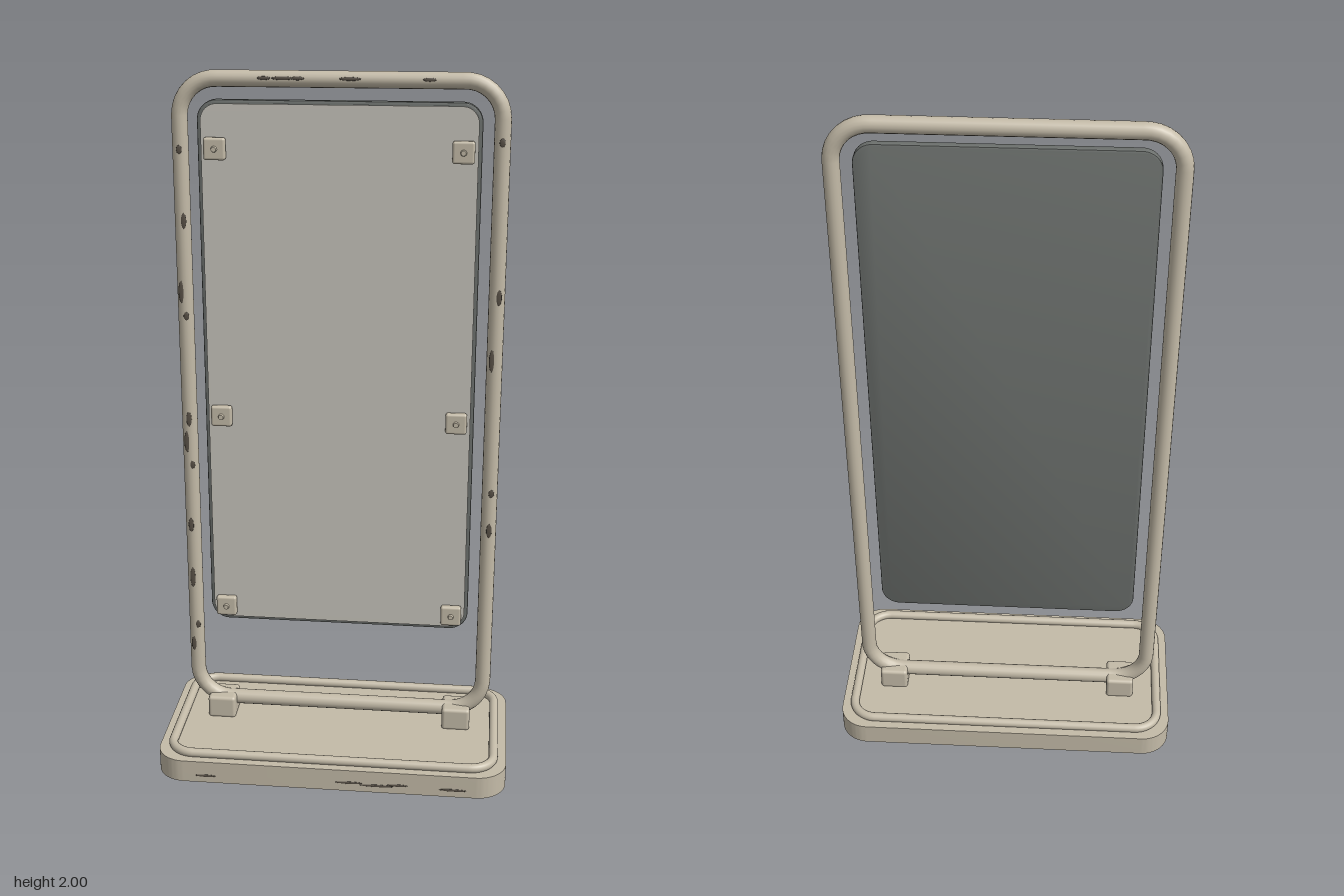
import * as THREE from 'three';
import { toCreasedNormals } from 'three/addons/utils/BufferGeometryUtils.js';
import { RoundedBoxGeometry } from 'three/addons/geometries/RoundedBoxGeometry.js';

const mat = (color) => new THREE.MeshStandardMaterial({ color });
const paint = mat(0xc4bba8);
const glass = mat(0xc8c5bc);
const backing = mat(0x6c706d);
const rust = mat(0x5a5248);

// Rounded rectangle outline, starting in the middle of the bottom edge
function roundedRect(w, h, r) {
  const x = w / 2, y = h / 2, s = new THREE.Shape();
  s.moveTo(0, -y);
  s.lineTo(x - r, -y);
  s.absarc(x - r, -y + r, r, -Math.PI / 2, 0);
  s.lineTo(x, y - r);
  s.absarc(x - r, y - r, r, 0, Math.PI / 2);
  s.lineTo(-x + r, y);
  s.absarc(-x + r, y - r, r, Math.PI / 2, Math.PI);
  s.lineTo(-x, -y + r);
  s.absarc(-x + r, -y + r, r, Math.PI, Math.PI * 1.5);
  s.lineTo(0, -y);
  return s;
}

// Closed 3D path following the rounded rectangle
class LoopCurve extends THREE.Curve {
  constructor(w, h, r) {
    super();
    this.outline = roundedRect(w, h, r);
  }
  getPoint(t, target = new THREE.Vector3()) {
    const p = this.outline.getPoint(t);
    return target.set(p.x, p.y, 0);
  }
}

function slab(w, h, r, depth, bevel = 0) {
  const geo = new THREE.ExtrudeGeometry(roundedRect(w - 2 * bevel, h - 2 * bevel, r), {
    depth: depth - 2 * bevel, curveSegments: 10, bevelEnabled: bevel > 0,
    bevelSize: bevel, bevelThickness: bevel, bevelSegments: 2,
  });
  geo.translate(0, 0, bevel);
  return toCreasedNormals(geo, 0.6);
}

const loopTube = (w, h, r, tube) =>
  new THREE.TubeGeometry(new LoopCurve(w, h, r), 260, tube, 16, true);

export function createModel() {
  const model = new THREE.Group();
  model.name = 'standingMirror';

  const add = (name, geo, material, x = 0, y = 0, z = 0) => {
    const mesh = new THREE.Mesh(geo, material);
    mesh.name = name;
    mesh.position.set(x, y, z);
    model.add(mesh);
    return mesh;
  };

  // Base plate with a raised tubular rim
  add('base', slab(1.02, 0.526, 0.085, 0.067).rotateX(-Math.PI / 2), paint);
  add('baseRim', loopTube(0.945, 0.456, 0.07, 0.0135).rotateX(Math.PI / 2), paint, 0, 0.076, 0);

  // Bent tube frame
  const frameZ = -0.047, tubeR = 0.0225;
  add('frame', loopTube(0.87, 1.863, 0.1, tubeR), paint, 0, 1.046, frameZ);

  // Mirror panel: dark backing tray and glass front
  const panelY = 1.158;
  add('panelBacking', slab(0.766, 1.532, 0.05, 0.024, 0.004), backing, 0, panelY, -0.047);
  add('glass', slab(0.746, 1.512, 0.045, 0.005), glass, 0, panelY, -0.0235);

  // Clamps on the base and glass clips, mirrored left and right
  const clamp = new RoundedBoxGeometry(0.084, 0.07, 0.094, 3, 0.01);
  const clip = new RoundedBoxGeometry(0.06, 0.06, 0.022, 3, 0.007);
  const screw = new THREE.CylinderGeometry(0.007, 0.009, 0.008, 12).rotateX(Math.PI / 2);
  for (const side of [-1, 1]) {
    add('clamp', clamp, paint, side * 0.357, 0.098, -0.044);
    for (const y of [0.443, 1.04, 1.796]) {
      add('clip', clip, paint, side * 0.334, y, -0.008);
      add('clipScrew', screw, paint, side * 0.334, y, 0.006);
    }
  }

  // Chipped paint: thin dark flakes hugging the tube and base edge
  const flake = new THREE.SphereGeometry(1, 10, 6);
  const chip = (x, y, z, sx, sy, sz) => add('paintChip', flake, rust, x, y, z).scale.set(sx, sy, sz);
  const uprights = [
    [-1, [1.79, 1.595, 1.395, 1.325, 1.02, 0.95, 0.88, 0.69, 0.52, 0.365, 0.3]],
    [1, [1.82, 1.4, 1.22, 0.825, 0.71]],
  ];
  for (const [side, heights] of uprights) {
    heights.forEach((y, i) => {
      const a = 0.35 * Math.sin(i * 2.3);
      chip(side * 0.435 + Math.sin(a) * tubeR, y, frameZ + Math.cos(a) * tubeR,
        0.008, 0.012 + 0.01 * (i % 3), 0.002);
    });
  }
  [-0.2, -0.15, -0.11, 0.03, 0.24].forEach((x, i) =>
    chip(x, 1.981, frameZ + tubeR, 0.018 + 0.012 * (i % 2), 0.005, 0.002));
  [-0.36, 0.06, 0.14, 0.2, 0.36].forEach((x, i) =>
    chip(x, 0.022 + 0.005 * (i % 2), 0.263, 0.03 + 0.01 * (i % 3), 0.004, 0.0015));

  return model;
}
